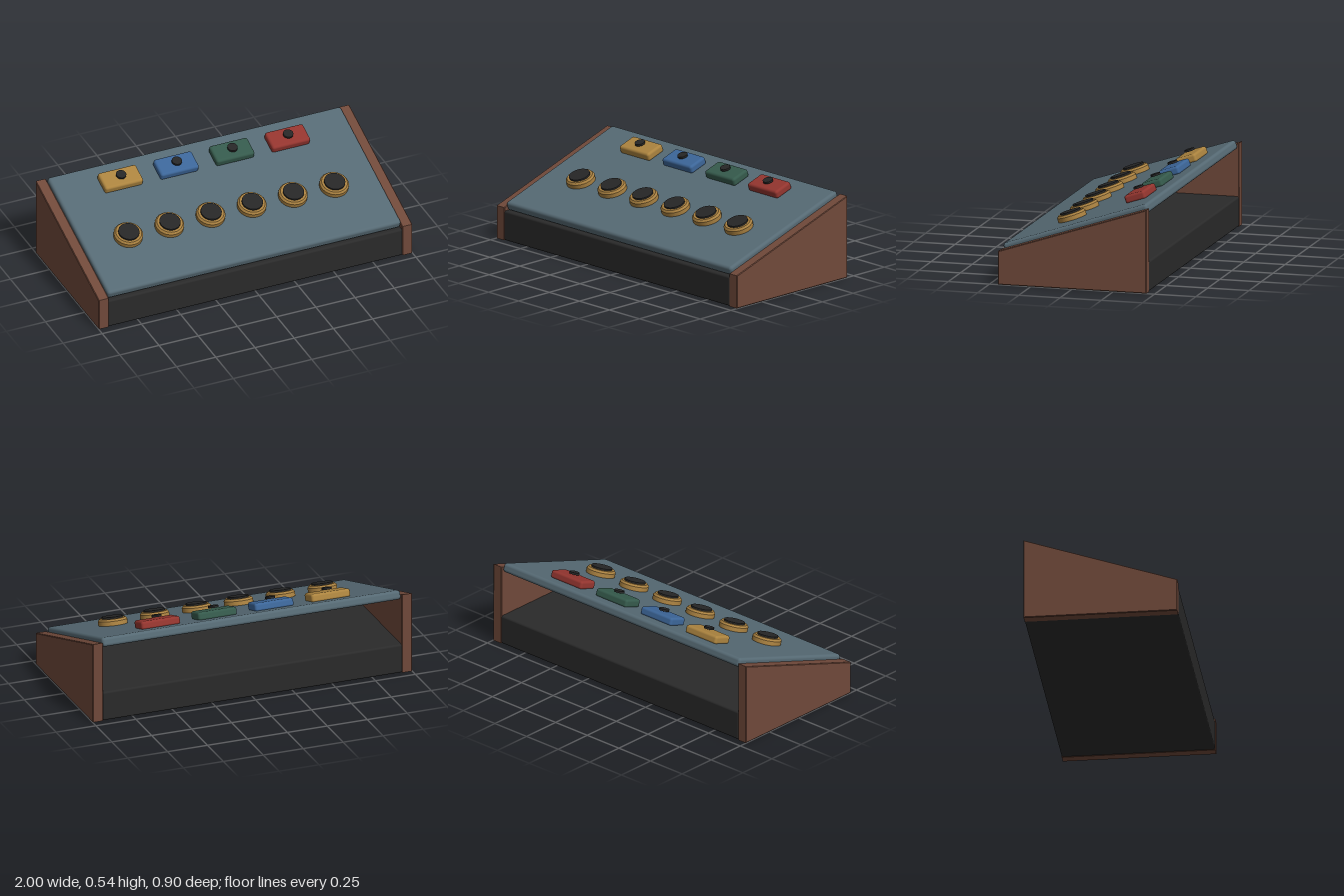
import * as THREE from 'three';
import { RoundedBoxGeometry } from 'three/addons/geometries/RoundedBoxGeometry.js';

const mat = (name, color) => Object.assign(new THREE.MeshStandardMaterial({ color }), { name });

export function createModel() {
  const wood = mat('wood brown', 0x70493a);
  const slate = mat('slate', 0x566a74);
  const black = mat('case black', 0x2a2a2a);
  const cap = mat('cap black', 0x262626);
  const gold = mat('brass', 0xa88040);
  const buttonMats = [
    mat('amber', 0xac843f), mat('blue', 0x3c6699),
    mat('green', 0x355a4c), mat('red', 0x94352f),
  ];

  const model = new THREE.Group();
  model.name = 'controlBox';
  const add = (parent, name, geometry, material, x = 0, y = 0, z = 0) => {
    const mesh = new THREE.Mesh(geometry, material);
    mesh.name = name;
    mesh.position.set(x, y, z);
    parent.add(mesh);
    return mesh;
  };

  // Low case under the panel; the back above it stays open
  add(model, 'baseCase', new RoundedBoxGeometry(1.88, 0.18, 0.9, 3, 0.012), black, 0, 0.09, 0);

  // Wedge-shaped wooden cheeks with a fine bevel
  const b = 0.004;
  const wedge = new THREE.Shape([
    new THREE.Vector2(-0.45 + b, b), new THREE.Vector2(0.45 - b, b),
    new THREE.Vector2(0.45 - b, 0.495 - b), new THREE.Vector2(-0.45 + b, 0.2 - b),
  ]);
  const cheekGeo = new THREE.ExtrudeGeometry(wedge, {
    depth: 0.065 - 2 * b, bevelEnabled: true, bevelSize: b, bevelThickness: b, bevelSegments: 1,
  });
  cheekGeo.translate(0, 0, -(0.065 - 2 * b) / 2);
  cheekGeo.rotateY(Math.PI / 2);
  for (const [side, name] of [[1, 'leftCheek'], [-1, 'rightCheek']]) {
    add(model, name, cheekGeo, wood, side * 0.9675, 0, 0);
  }

  // Sloping panel: its local y is the panel normal, local z runs down to the front
  const deck = new THREE.Group();
  deck.name = 'slopingDeck';
  deck.position.set(0, 0.348, -0.002);
  deck.rotation.x = Math.atan(0.332);
  model.add(deck);
  add(deck, 'panel', new RoundedBoxGeometry(1.87, 0.055, 0.918, 3, 0.018), slate);
  const top = 0.0275;

  // Row of six brass knobs with dark caps
  const collarGeo = new THREE.LatheGeometry([
    [0.001, -0.004], [0.084, -0.004], [0.086, 0.004], [0.086, 0.026], [0.076, 0.038], [0.001, 0.038],
  ].flatMap(([r, y], i, all) => {
    const p = new THREE.Vector2(r, y);
    return i > 0 && i < all.length - 1 ? [p, p.clone()] : [p];
  }), 40);
  const capGeo = new THREE.CylinderGeometry(0.062, 0.062, 0.014, 32);
  for (let i = 0; i < 6; i++) {
    const knob = new THREE.Group();
    knob.name = 'knob' + (i + 1);
    knob.position.set((i - 2.5) * 0.2625, top, 0.095);
    deck.add(knob);
    add(knob, 'knobCollar', collarGeo, gold);
    add(knob, 'knobCap', capGeo, cap, 0, 0.041, 0);
  }

  // Row of four coloured buttons, each with a small disc held above it
  const buttonGeo = new RoundedBoxGeometry(0.243, 0.05, 0.128, 3, 0.015);
  const discGeo = new THREE.CylinderGeometry(0.03, 0.03, 0.012, 28);
  buttonMats.forEach((material, i) => {
    const button = new THREE.Group();
    button.name = 'button' + (i + 1);
    button.position.set((i - 1.5) * 0.355 - 0.005, top, -0.306);
    deck.add(button);
    add(button, 'buttonBody', buttonGeo, material, 0, 0.02, 0);
    add(button, 'buttonDisc', discGeo, cap, 0, 0.06, 0);
  });

  return model;
}
